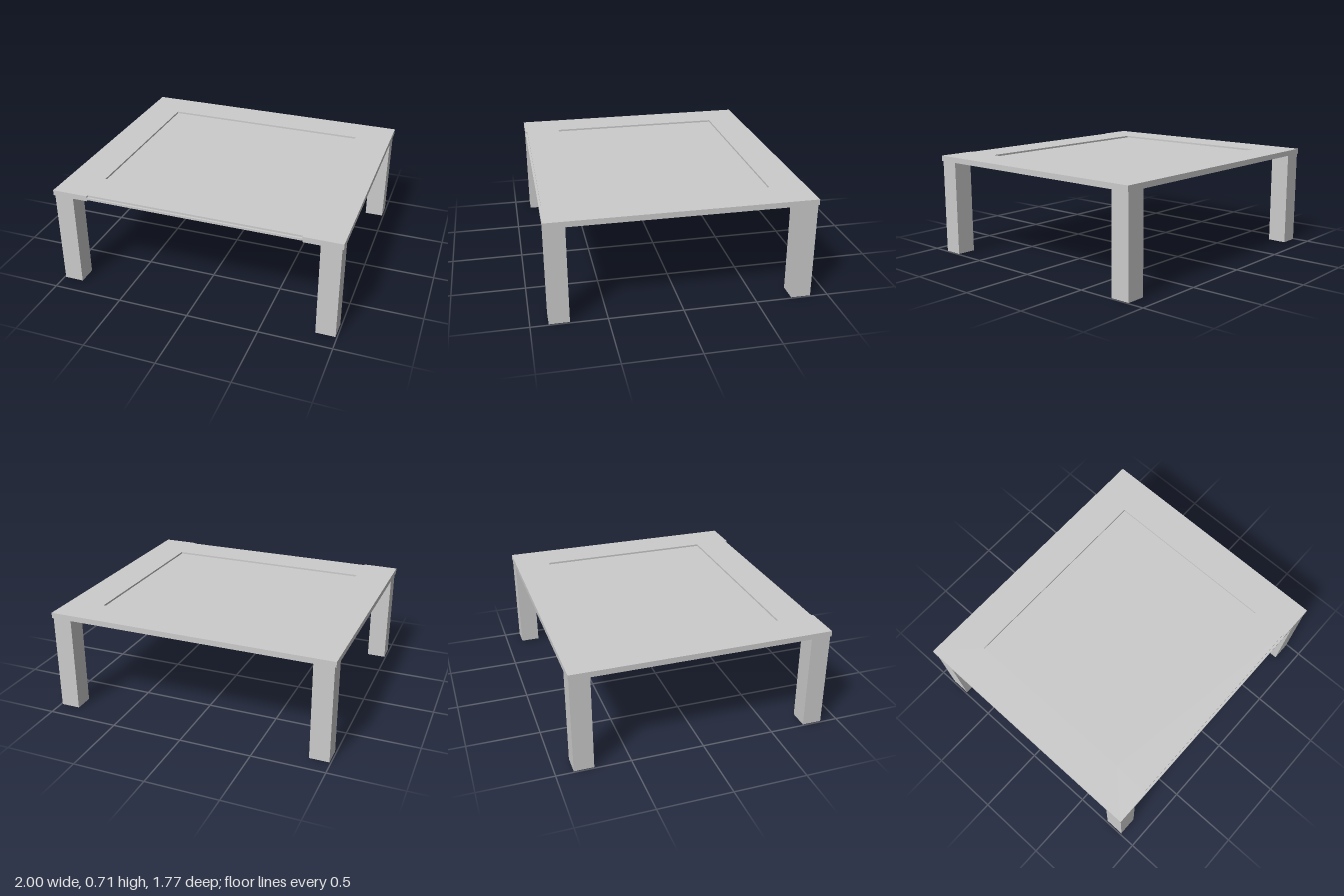
import * as THREE from 'three';

const HALF_X = 1, HALF_Z = 0.885;
const TOP = 0.712, UNDERSIDE = 0.674;
const WINDOW = { x0: -0.745, x1: 0.74, z0: -0.635, z1: 0.62 };
const NOTCH_Z = 0.87;

export function createModel() {
  const group = new THREE.Group();
  const material = new THREE.MeshStandardMaterial({ color: 0xcccccc, flatShading: true });
  const add = (name, geometry) => {
    const mesh = new THREE.Mesh(geometry, material);
    mesh.name = name;
    group.add(mesh);
    return mesh;
  };
  const points = (list) => list.map(([x, z]) => new THREE.Vector2(x, z));
  const { x0, x1, z0, z1 } = WINDOW;

  // Table top: a slab with a window and a shallow notch in the front edge
  const outline = new THREE.Shape(points([
    [-HALF_X, -HALF_Z], [HALF_X, -HALF_Z], [HALF_X, HALF_Z],
    [x1, HALF_Z], [x1, NOTCH_Z], [x0, NOTCH_Z], [x0, HALF_Z], [-HALF_X, HALF_Z],
  ]));
  outline.holes.push(new THREE.Path(points([[x0, z0], [x0, z1], [x1, z1], [x1, z0]])));
  const slab = new THREE.ExtrudeGeometry(outline, { depth: TOP - UNDERSIDE, bevelEnabled: false });
  slab.rotateX(Math.PI / 2);
  add('topFrame', slab).position.y = TOP;

  // Thin panel slid in from the front, sunk below the frame on both faces
  const panel = add('slidingPanel', new THREE.BoxGeometry(x1 - x0, 0.014, HALF_Z - z0));
  panel.position.set((x0 + x1) / 2, 0.692, (HALF_Z + z0) / 2);

  // Four square legs, set in slightly from the corners
  const legSize = 0.135;
  for (const [sx, side] of [[1, 'Left'], [-1, 'Right']]) {
    for (const [sz, end] of [[1, 'front'], [-1, 'back']]) {
      const leg = add(`${end}${side}Leg`, new THREE.BoxGeometry(legSize, UNDERSIDE, legSize));
      leg.position.set(sx * (0.99 - legSize / 2), UNDERSIDE / 2, sz * (0.881 - legSize / 2));
    }
  }
  return group;
}
